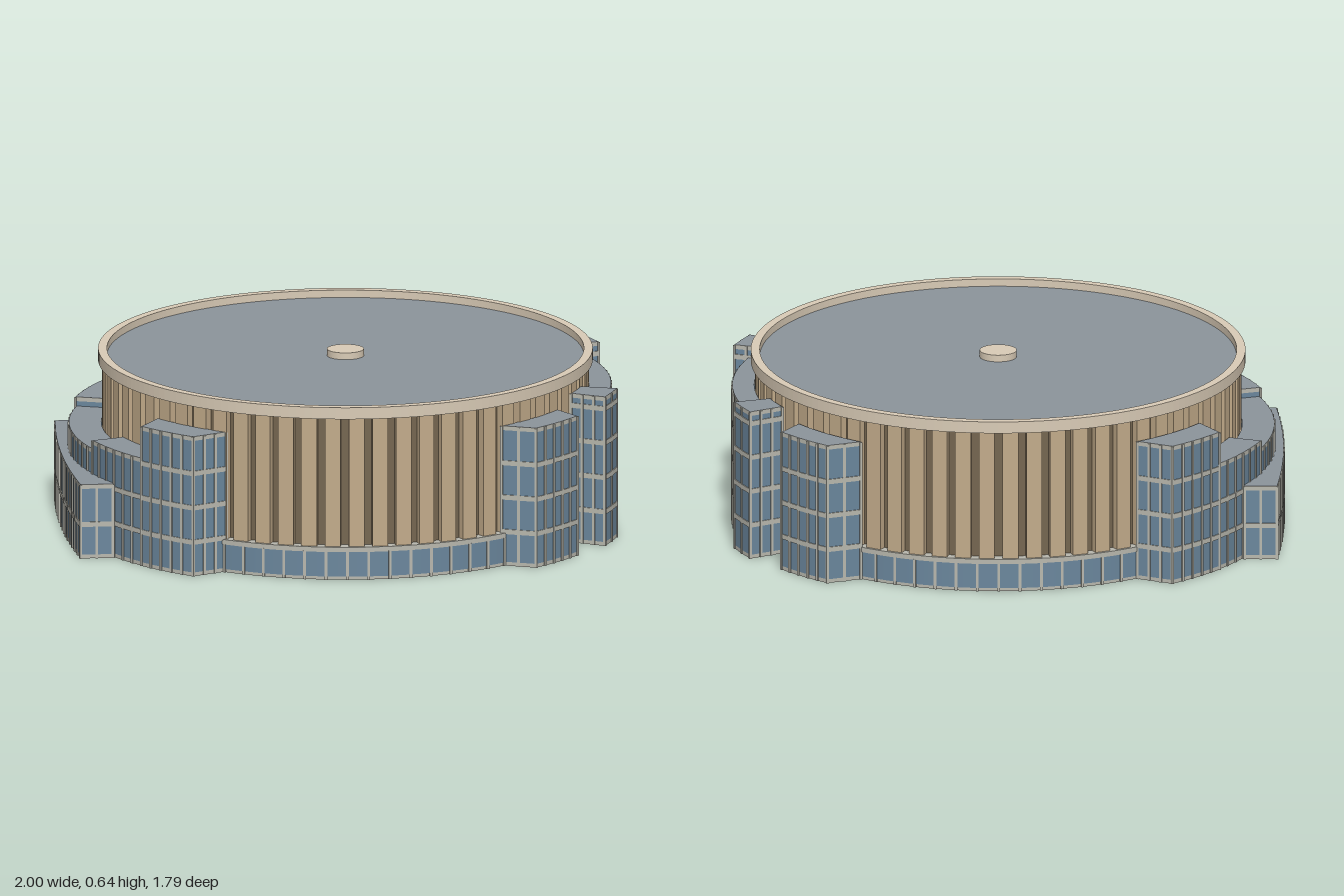
import * as THREE from 'three';
import { mergeGeometries } from 'three/addons/utils/BufferGeometryUtils.js';

const CX = 0.035; // drum axis
const mat = (color, extra = {}) => new THREE.MeshStandardMaterial({ color, ...extra });
const M = {
  glass: mat(0x6a869c),
  frame: mat(0xb9b8ae),
  roof: mat(0x8b949b),
  stone: mat(0xd9cbb6),
  panel: mat(0xc2ab8a, { side: THREE.DoubleSide, flatShading: true }),
  slot: mat(0x74654f, { side: THREE.DoubleSide, flatShading: true }),
};

// Plan point [x, z] at a radius and an angle in degrees from +x towards +z
const polar = (r, deg) => {
  const a = THREE.MathUtils.degToRad(deg);
  return [CX + r * Math.cos(a), r * Math.sin(a)];
};

const arc = (r, from, to, n) =>
  Array.from({ length: n + 1 }, (_, i) => polar(r, from + ((to - from) * i) / n));

const mesh = (name, geometry, material) => {
  const m = new THREE.Mesh(geometry, material);
  m.name = name;
  return m;
};

// Upright prism over a plan outline
function prism(points, y0, y1) {
  const shape = new THREE.Shape(points.map(([x, z]) => new THREE.Vector2(x, -z)));
  return new THREE.ExtrudeGeometry(shape, { depth: y1 - y0, bevelEnabled: false })
    .rotateX(-Math.PI / 2).translate(0, y0, 0);
}

// Bar between two plan points
function bar([ax, az], [bx, bz], y0, y1, t) {
  const dx = bx - ax, dz = bz - az;
  return new THREE.BoxGeometry(Math.hypot(dx, dz), y1 - y0, t)
    .rotateY(-Math.atan2(dz, dx))
    .translate((ax + bx) / 2, (y0 + y1) / 2, (az + bz) / 2);
}

// Vertical mullion centred on a plan point, lying along direction a-b
function mullion([x, z], a, b, y1) {
  const l = Math.hypot(b[0] - a[0], b[1] - a[1]) / 0.005;
  const ux = (b[0] - a[0]) / l, uz = (b[1] - a[1]) / l;
  return bar([x - ux, z - uz], [x + ux, z + uz], 0, y1, 0.008);
}

// Glazed block: facade is the exposed path, inner the path against the drum
function block(name, facade, inner, h) {
  const g = new THREE.Group();
  g.name = name;
  const outline = [...facade, ...inner];
  g.add(mesh('plinth', prism(outline, 0, 0.014), M.frame));
  g.add(mesh('glazing', prism(outline, 0.014, h - 0.016), M.glass));
  g.add(mesh('roofSlab', prism(outline, h - 0.016, h), [M.roof, M.frame]));
  const bars = [];
  for (let i = 0; i + 1 < facade.length; i++) {
    const a = facade[i], b = facade[i + 1];
    const n = Math.max(1, Math.round(Math.hypot(b[0] - a[0], b[1] - a[1]) / 0.052));
    for (let k = 0; k <= n; k++) {
      const t = k / n;
      if (k === n && i + 2 < facade.length) continue;
      bars.push(mullion([a[0] + (b[0] - a[0]) * t, a[1] + (b[1] - a[1]) * t], a, b, h - 0.002));
    }
    for (let y = 0.127; y < h - 0.03; y += 0.128) bars.push(bar(a, b, y - 0.009, y + 0.009, 0.007));
  }
  g.add(mesh('frames', mergeGeometries(bars), M.frame));
  return g;
}

// Quads standing on plan segments
function wall(segments, y0, y1) {
  const pos = [];
  for (const [[ax, az], [bx, bz]] of segments) {
    pos.push(ax, y0, az, ax, y1, az, bx, y1, bz, ax, y0, az, bx, y1, bz, bx, y0, bz);
  }
  const geo = new THREE.BufferGeometry();
  geo.setAttribute('position', new THREE.Float32BufferAttribute(pos, 3));
  geo.computeVertexNormals();
  return geo;
}

// Ring with a rectangular section
function ring(r0, r1, y0, y1) {
  const shape = new THREE.Shape().absarc(0, 0, r1, 0, Math.PI * 2);
  shape.holes.push(new THREE.Path().absarc(0, 0, r0, 0, Math.PI * 2, true));
  return new THREE.ExtrudeGeometry(shape, { depth: y1 - y0, bevelEnabled: false, curveSegments: 96 })
    .rotateX(-Math.PI / 2).translate(CX, y0, 0);
}

function drum() {
  const g = new THREE.Group();
  g.name = 'drum';

  // Glazed ground floor
  g.add(mesh('baseRing', ring(0.848, 0.884, 0, 0.122), M.frame));
  g.add(mesh('baseGlazing',
    new THREE.CylinderGeometry(0.887, 0.887, 0.092, 96, 1, true).translate(CX, 0.058, 0), M.glass));
  g.add(mesh('baseCornice', ring(0.88, 0.89, 0.104, 0.122), M.frame));
  const posts = [];
  for (let i = 0; i < 72; i++) {
    posts.push(mullion(polar(0.886, i * 5), polar(1, i * 5 - 1), polar(1, i * 5 + 1), 0.106));
  }
  g.add(mesh('baseMullions', mergeGeometries(posts), M.frame));

  // Fluted wall: wide panels with narrow recessed slots
  const panels = [], slots = [], count = 64, step = 360 / count, half = step * 0.17;
  for (let i = 0; i < count; i++) {
    const a = i * step - half, b = i * step + half, c = (i + 1) * step - half;
    slots.push([polar(0.85, b), polar(0.85, a)]);
    panels.push([polar(0.85, a), polar(0.88, a)], [polar(0.88, b), polar(0.85, b)],
      [polar(0.88, c), polar(0.88, b)]);
  }
  g.add(mesh('wallPanels', wall(panels, 0.12, 0.602), M.panel));
  g.add(mesh('wallSlots', wall(slots, 0.12, 0.602), M.slot));

  // Parapet, roof and cap
  g.add(mesh('parapet', ring(0.862, 0.894, 0.6, 0.643), M.stone));
  g.add(mesh('roof', new THREE.CylinderGeometry(0.864, 0.864, 0.015, 96).translate(CX, 0.608, 0), M.roof));
  g.add(mesh('roofCap', new THREE.CylinderGeometry(0.067, 0.067, 0.025, 40).translate(CX, 0.628, 0), M.stone));
  return g;
}

export function createModel() {
  const model = new THREE.Group();
  model.name = 'roundBuilding';
  model.add(drum());

  const annexes = new THREE.Group();
  annexes.name = 'annexes';
  annexes.position.z = -0.008;
  model.add(annexes);
  const R = 0.882;

  // Blocks that occur at the front and, mirrored, at the back
  const flip = (pts, s) => pts.map(([x, z]) => [x, z * s]);
  for (const s of [1, -1]) {
    const side = s > 0 ? 'front' : 'back';
    const add = (name, facade, inner, h) =>
      annexes.add(block(side + name, flip(facade, s), flip(inner, s), h));
    add('LeftBlock', [polar(R, 35.1), ...arc(0.992, 37.8, 51.4, 5), polar(R, 55.6)],
      arc(R, 53.5, 37, 8), 0.52);
    add('LeftTower', [polar(R, 20.5), ...arc(1.015, 20.2, 27.9, 2), polar(R, 27.6)],
      arc(R, 26, 22, 2), 0.555);
    add('RightBlock', [polar(R, 124.7), ...arc(1.006, 128.6, 142.5, 5), polar(R, 145.5)],
      arc(R, 143.5, 126.5, 8), 0.52);
    add('RightStep', arc(1.003, 142.5, 161, 6), arc(R, 161, 144.5, 8), 0.4);
  }

  // Curved middle bays on both flanks
  annexes.add(block('leftMiddle', arc(0.961, -20.3, 20.3, 14), arc(R, 20.3, -20.3, 20), 0.512));
  annexes.add(block('rightMiddle', arc(0.999, 161, 199, 12), arc(R, 199, 161, 20), 0.366));

  // Low outer wing with a gently bowed face
  const bow = Array.from({ length: 19 }, (_, i) => {
    const z = 0.482 * (1 - i / 9);
    return [-0.997 + 0.025 * (z / 0.482) ** 2, z];
  });
  annexes.add(block('rightLowWing', [[-0.855, 0.482], ...bow, [-0.855, -0.482]],
    arc(0.998, 207, 153, 16), 0.275));
  return model;
}
